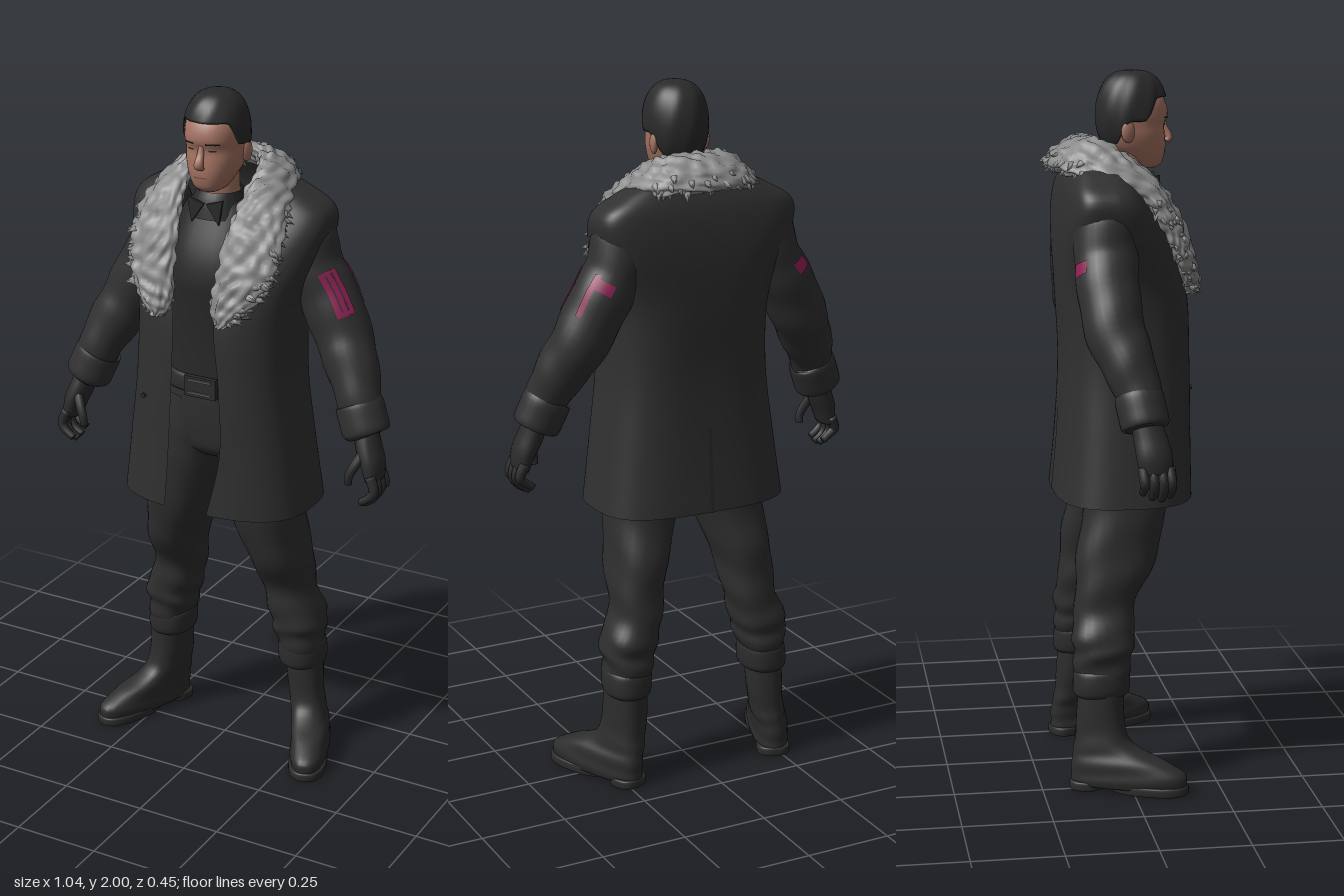
import * as THREE from 'three';
import { mergeVertices, mergeGeometries } from 'three/addons/utils/BufferGeometryUtils.js';

const PI = Math.PI;
const mat = (name, color, side = THREE.FrontSide) => {
  const m = new THREE.MeshStandardMaterial({ color, side });
  m.name = name;
  return m;
};

// Smooth interpolation through rows of numbers, u in 0..1
function sample(rows, u) {
  const n = rows.length - 1, f = Math.min(Math.max(u, 0), 1) * n;
  const i = Math.min(Math.floor(f), n - 1), t = f - i;
  const row = k => rows[Math.min(Math.max(i + k, 0), n)];
  return rows[0].map((_, k) => {
    const a = row(-1)[k], b = row(0)[k], c = row(1)[k], d = row(2)[k];
    return 0.5 * (2 * b + (c - a) * t + (2 * a - 5 * b + 4 * c - d) * t * t + (3 * b - a - 3 * c + d) * t ** 3);
  });
}

// Surface from fn(u, v) -> Vector3; cap closes both ends
function grid(fn, nu, nv, cap = false) {
  const rows = [];
  for (let i = 0; i <= nu; i++) {
    const r = [];
    for (let j = 0; j <= nv; j++) r.push(fn(i / nu, j / nv));
    rows.push(r);
  }
  if (cap) {
    const centre = r => {
      const c = new THREE.Vector3();
      for (let j = 0; j < nv; j++) c.addScaledVector(r[j], 1 / nv);
      return r.map(() => c);
    };
    rows.unshift(centre(rows[0]));
    rows.push(centre(rows[rows.length - 1]));
  }
  const w = nv + 1, index = [];
  for (let i = 0; i < rows.length - 1; i++) for (let j = 0; j < nv; j++) {
    const a = i * w + j, b = a + w;
    index.push(a, b, a + 1, b, b + 1, a + 1);
  }
  let g = new THREE.BufferGeometry().setFromPoints(rows.flat());
  g.setIndex(index);
  g = mergeVertices(g, 1e-5);
  g.computeVertexNormals();
  return g;
}

function mirror(geo) {
  const g = geo.clone().scale(-1, 1, 1), ix = g.index;
  for (let i = 0; i < ix.count; i += 3) {
    const t = ix.getX(i);
    ix.setX(i, ix.getX(i + 1));
    ix.setX(i + 1, t);
  }
  g.computeVertexNormals();
  return g;
}

const pw = (v, p) => Math.sign(v) * Math.abs(v) ** p;

// Horizontal rings, top to bottom: [y, centre x, half width, front z, back z]
const body = (rows, p = 0.9, ripple = () => 0) => (u, a, off = 0) => {
  const [y, cx, rx, zf, zb] = sample(rows, u), o = off + ripple(u, a);
  return new THREE.Vector3(cx + (rx + o) * pw(Math.sin(a), p), y,
    (zf + zb) / 2 + ((zf - zb) / 2 + o) * pw(Math.cos(a), p));
};

// Rings across a path: [x, y, z, radius front-back, radius sideways]
const limb = (rows, ripple = () => 0) => (u, a, off = 0) => {
  const s = sample(rows, u), c = new THREE.Vector3(s[0], s[1], s[2]);
  const q = sample(rows, u + 0.01), r = sample(rows, u - 0.01);
  const T = new THREE.Vector3(q[0] - r[0], q[1] - r[1], q[2] - r[2]).normalize();
  const n1 = new THREE.Vector3(0, 0, 1).addScaledVector(T, -T.z).normalize();
  const n2 = n1.clone().cross(T), o = off + ripple(u, a);
  return c.addScaledVector(n1, (s[3] + o) * Math.cos(a)).addScaledVector(n2, (s[4] + o) * Math.sin(a));
};

const solid = (fn, nu = 16, nv = 24) => grid((u, v) => fn(u, v * 2 * PI), nu, nv, true);
// Thin panel lying on a surface
const patch = (fn, [u0, u1, a0, a1], off = 0.003) =>
  grid((u, v) => fn(u0 + (u1 - u0) * u, a0 + (a1 - a0) * v, off), 8, 6);

export function createModel() {
  const model = new THREE.Group();
  const D = THREE.DoubleSide;
  const coatM = mat('coat cloth', 0x303030, D), shirtM = mat('shirt cloth', 0x292929, D);
  const trouserM = mat('trouser cloth', 0x2e2e2e), leather = mat('leather', 0x2c2c2c);
  const furM = mat('fur', 0x8a8a8a, D), skin = mat('skin', 0xa47362), lip = mat('lip', 0x85574a, D);
  const hairM = mat('hair', 0x2a2a2a, D), accent = mat('magenta', 0x8c1f52, D), metal = mat('metal', 0x5a5a5a);
  const add = (name, geo, m) => {
    const mesh = new THREE.Mesh(geo, m);
    mesh.name = name;
    model.add(mesh);
  };
  const pair = (name, geo, m) => {
    add(name + 'Left', geo, m);
    add(name + 'Right', mirror(geo), m);
  };

  // Head and face
  const head = body([[1.965, 0, 0.055, 0.1, -0.03], [1.92, 0, 0.077, 0.132, -0.05], [1.88, 0, 0.08, 0.142, -0.055],
    [1.85, 0, 0.079, 0.132, -0.05], [1.82, 0, 0.077, 0.134, -0.04], [1.79, 0, 0.069, 0.136, -0.03],
    [1.765, 0, 0.058, 0.133, 0], [1.742, 0, 0.044, 0.125, 0.03], [1.73, 0, 0.026, 0.11, 0.05]], 0.87);
  add('head', solid(head, 32, 32), skin);
  add('neck', solid(limb([[0, 1.79, 0.03, 0.055, 0.057], [0, 1.73, 0.028, 0.054, 0.056], [0, 1.66, 0.02, 0.06, 0.06]])), skin);
  add('nose', solid(limb([[0, 1.868, 0.13, 0.006, 0.007], [0, 1.84, 0.136, 0.008, 0.01], [0, 1.814, 0.147, 0.011, 0.014],
    [0, 1.802, 0.139, 0.008, 0.014]]), 10, 14), skin);
  pair('ear', mergeVertices(new THREE.SphereGeometry(1, 14, 10).scale(0.011, 0.032, 0.02).rotateY(-0.25).translate(0.078, 1.835, 0.02)), skin);
  pair('eyebrow', patch(head, [0.275, 0.295, 0.17, 0.66]), hairM);
  pair('eye', patch(head, [0.36, 0.38, 0.24, 0.5], 0.002), hairM);
  add('mouth', patch(head, [0.69, 0.712, -0.24, 0.24], 0.002), lip);

  // Hair: a cap whose lower edge drops past the temples to the nape
  add('hair', grid((u, v) => {
    const a = v * 2 * PI, side = Math.acos(Math.cos(a));
    const drop = THREE.MathUtils.smoothstep(side, 0.85, 1.35);
    const edge = 1.925 - 0.065 * drop - 0.065 * THREE.MathUtils.smoothstep(side, 1.7, 2.3);
    const phi = Math.acos((edge - 1.88) / 0.12) * Math.min(u / 0.93, 1);
    const s = Math.sin(phi) ** 0.7 * (u > 0.95 ? 0.84 : 1) * (1 + 0.012 * Math.sin(9 * a + 7 * u));
    return new THREE.Vector3(0.091 * s * Math.sin(a), 1.88 + 0.12 * Math.cos(phi), 0.042 + 0.103 * s * Math.cos(a));
  }, 24, 48), hairM);

  // Shirt, collar and belt
  add('shirt', solid(body([[1.7, 0, 0.07, 0.085, -0.04], [1.66, 0, 0.11, 0.1, -0.08], [1.56, 0, 0.14, 0.138, -0.1],
    [1.48, 0, 0.152, 0.152, -0.11], [1.42, 0, 0.155, 0.145, -0.11], [1.3, 0, 0.152, 0.132, -0.1],
    [1.16, 0, 0.15, 0.125, -0.1]], 0.85), 24, 32), shirtM);
  add('shirtCollar', grid((u, v) => body([[1.722, 0, 0.063, 0.09, -0.035], [1.695, 0, 0.072, 0.102, -0.05],
    [1.65, 0, 0.088, 0.112, -0.06]])(u, v * 2 * PI), 6, 24), shirtM);
  for (const s of [1, -1]) {
    const flap = new THREE.Shape([[0.004, 1.695], [0.055, 1.712], [0.042, 1.64]].map(([x, y]) => new THREE.Vector2(s * x, y)));
    add('collarPoint', new THREE.ExtrudeGeometry(flap, { depth: 0.008, bevelEnabled: false }).translate(0, 0, 0.106), shirtM);
  }
  add('belt', solid(body([[1.195, 0, 0.15, 0.126, -0.1], [1.19, 0, 0.16, 0.136, -0.11], [1.15, 0, 0.165, 0.138, -0.113],
    [1.145, 0, 0.155, 0.128, -0.103]], 0.85), 8, 32), leather);
  add('buckle', new THREE.BoxGeometry(0.1, 0.06, 0.014).translate(0, 1.17, 0.14), leather);
  for (const y of [1.152, 1.19]) add('buckleBar', new THREE.BoxGeometry(0.075, 0.006, 0.006).translate(0, y, 0.149), metal);

  // Trousers with folds gathered around the knees and shins
  add('hips', solid(body([[1.17, 0, 0.15, 0.125, -0.1], [1.1, 0, 0.165, 0.126, -0.115], [1.03, 0, 0.175, 0.122, -0.115],
    [0.97, 0, 0.16, 0.112, -0.105], [0.94, 0, 0.11, 0.08, -0.075]], 0.75), 18, 32), trouserM);
  pair('trouserLeg', solid(body([[1.12, 0.08, 0.08, 0.12, -0.1], [1.02, 0.092, 0.1, 0.126, -0.117], [0.94, 0.112, 0.11, 0.125, -0.12],
    [0.8, 0.135, 0.1, 0.118, -0.115], [0.65, 0.166, 0.083, 0.085, -0.14], [0.52, 0.184, 0.072, 0.022, -0.148],
    [0.43, 0.207, 0.079, 0.018, -0.158], [0.37, 0.217, 0.07, 0.008, -0.155], [0.3, 0.22, 0.058, -0.01, -0.148]], 0.85,
  (u, a) => 0.004 * u * (Math.sin(u * 46 + 2.5 * Math.sin(a + 1)) + 0.6 * Math.sin(u * 29 - 2 * Math.sin(a))))
  , 60, 28), trouserM);

  // Boots: turned-out foot, shaft, sole, heel and cuff
  const place = g => g.rotateY(0.37).translate(0.25, 0, -0.087);
  pair('boot', place(solid(body([[0.31, -0.026, 0.054, 0.062, -0.066], [0.2, -0.02, 0.053, 0.066, -0.07], [0.145, -0.013, 0.051, 0.078, -0.073],
    [0.112, -0.007, 0.051, 0.125, -0.077], [0.087, 0, 0.053, 0.19, -0.08], [0.06, 0.003, 0.055, 0.242, -0.081],
    [0.035, 0.004, 0.056, 0.253, -0.081], [0.016, 0.004, 0.054, 0.25, -0.08]], 0.82, (u, a) => 0.001 * Math.sin(u * 24 + 2 * Math.cos(a))), 32, 32)), leather);
  const slab = (zf, zb, rx) => place(solid(body([[0.026, 0.004, rx - 0.004, zf - 0.005, zb + 0.005], [0.022, 0.004, rx, zf, zb],
    [0.004, 0.004, rx, zf, zb], [0, 0.004, rx - 0.004, zf - 0.005, zb + 0.005]], 0.8), 9, 28));
  pair('sole', slab(0.256, 0.04, 0.056), leather);
  pair('heel', slab(0.01, -0.084, 0.049), leather);
  pair('bootCuff', solid(body([[0.345, 0.218, 0.058, -0.01, -0.145], [0.335, 0.219, 0.066, 0.001, -0.156],
    [0.3, 0.221, 0.068, 0.003, -0.159], [0.275, 0.222, 0.064, -0.001, -0.157], [0.265, 0.223, 0.052, -0.015, -0.147]]), 16, 28), leather);

  // Coat: open shell, rows of [y, half width, front z, back z, opening right, opening left]
  const coatRows = [[1.77, 0.1, 0, -0.11, 0.085, 0.085], [1.718, 0.22, 0.02, -0.142, 0.13, 0.13], [1.66, 0.296, 0.06, -0.162, 0.13, 0.13],
    [1.55, 0.28, 0.13, -0.174, 0.1, 0.1], [1.4, 0.236, 0.187, -0.172, 0.06, 0.068], [1.2, 0.236, 0.198, -0.162, 0.062, 0.085],
    [1, 0.26, 0.2, -0.17, 0.072, 0.09], [0.812, 0.285, 0.203, -0.187, 0.085, 0.05]];
  const front = 0.75;
  const coat = (u, a, off = 0) => {
    const [y, rx, zf, zb] = sample(coatRows, u);
    // The back is squarer across the shoulders than at the hem
    const back = 0.46 + 0.18 * THREE.MathUtils.smoothstep(u, 0.35, 0.6);
    return body([[y, 0, rx, zf, zb], [y, 0, rx, zf, zb]], Math.cos(a) > 0 ? front : back)(0, a, off);
  };
  add('coat', grid((u, v) => {
    const [, rx, , , gr, gl] = sample(coatRows, u);
    const a0 = Math.asin((gl / rx) ** (1 / front)), a1 = 2 * PI - Math.asin((gr / rx) ** (1 / front));
    return coat(u, a0 + (a1 - a0) * v);
  }, 48, 96), coatM);
  add('backVent', patch(coat, [0.82, 1, PI - 0.002, PI + 0.002]), shirtM);
  add('coatButton', new THREE.CylinderGeometry(0.007, 0.007, 0.006, 12).rotateX(PI / 2).translate(-0.16, 1.13, 0.184), shirtM);

  // Sleeves, cuffs and the magenta sleeve panels
  const sleeve = limb([[0.228, 1.665, -0.068, 0.066, 0.058], [0.224, 1.6, -0.066, 0.086, 0.078], [0.245, 1.51, -0.066, 0.088, 0.08],
    [0.294, 1.42, -0.067, 0.085, 0.084], [0.35, 1.31, -0.054, 0.082, 0.08], [0.4, 1.215, -0.019, 0.07, 0.07],
    [0.438, 1.12, 0.003, 0.057, 0.057]], (u, a) => 0.003 * u * Math.sin(u * 34 + 2 * Math.cos(a)));
  pair('sleeve', solid(sleeve, 40, 28), coatM);
  pair('sleeveCuff', solid(limb([[0.417, 1.162, -0.005, 0.056, 0.057], [0.421, 1.154, -0.004, 0.066, 0.068], [0.437, 1.115, 0.003, 0.067, 0.069],
    [0.451, 1.08, 0.009, 0.065, 0.067], [0.454, 1.073, 0.01, 0.05, 0.05]]), 16, 28), coatM);
  for (const p of [[0.38, 0.58, 0.54, 0.73], [0.37, 0.57, 0.78, 0.95], [0.37, 0.56, 1, 1.17], [0.37, 0.39, 0.56, 1.17],
    [0.56, 0.58, 0.56, 1.17], [0.38, 0.56, 2.1, 2.32], [0.4, 0.45, 2.3, 2.9]])
    add('sleevePanelLeft', patch(sleeve, p), accent);
  add('sleevePanelRight', mirror(patch(sleeve, [0.39, 0.45, 2.35, 2.95])), accent);

  // Gloved hands with curled fingers
  pair('palm', solid(limb([[0.443, 1.11, 0.006, 0.038, 0.034], [0.463, 1.05, 0.02, 0.046, 0.034], [0.483, 1, 0.029, 0.049, 0.031],
    [0.492, 0.955, 0.033, 0.044, 0.022]]), 12, 20), leather);
  const digit = pts => solid(limb(pts.map(([x, y, z], i) => [x, y, z, 0.0155 - 0.0015 * i, 0.0155 - 0.0015 * i])), 12, 10);
  [-0.004, 0.021, 0.046, 0.068].forEach((z, i) => {
    const d = [0.018, 0.004, 0, 0.01][i];
    pair('finger', digit([[0.492, 0.975, z], [0.507, 0.937, z + 0.003], [0.496, 0.905 + d, z + 0.005], [0.468, 0.885 + d, z + 0.004]]), leather);
  });
  pair('thumb', digit([[0.465, 1.035, 0.05], [0.446, 1, 0.068], [0.432, 0.968, 0.076], [0.43, 0.944, 0.074]]), leather);

  // Fur collar: rows of inner edge then outer edge, from back centre to lapel tip
  const half = [[0, 1.81, -0.075, 0, 1.74, -0.2], [0.07, 1.81, -0.06, 0.125, 1.73, -0.165], [0.1, 1.78, 0, 0.187, 1.705, -0.07],
    [0.09, 1.72, 0.06, 0.22, 1.665, 0.055], [0.076, 1.63, 0.125, 0.23, 1.58, 0.115], [0.068, 1.52, 0.17, 0.215, 1.5, 0.15],
    [0.064, 1.43, 0.19, 0.16, 1.425, 0.18], [0.085, 1.385, 0.19, 0.115, 1.385, 0.188]];
  const furRows = [...half.slice(1).reverse().map(r => r.map((n, k) => (k % 3 ? n : -n))), ...half];
  const fur = (u, a, off = 0) => {
    const mid = r => new THREE.Vector3(r[0] + r[3], r[1] + r[4], r[2] + r[5]).multiplyScalar(0.5);
    const r = sample(furRows, u), w = new THREE.Vector3(r[3] - r[0], r[4] - r[1], r[5] - r[2]).multiplyScalar(0.5);
    const T = mid(sample(furRows, u + 0.01)).sub(mid(sample(furRows, u - 0.01)));
    const n = w.clone().cross(T).normalize();
    const bump = off + 0.006 * Math.sin(u * 88 + 2 * Math.sin(3 * a)) * Math.sin(5 * a + 3 * Math.sin(u * 37))
      + 0.004 * Math.sin(u * 150 + 4 * a) * Math.sin(7 * a - u * 60);
    const k = 1 + bump / Math.max(w.length(), 0.02);
    return mid(r).addScaledVector(w, k * Math.cos(a)).addScaledVector(n, (0.03 + bump) * Math.sin(a));
  };
  add('furCollar', solid(fur, 160, 48), furM);
  let seed = 7;
  const rnd = () => (seed = (seed * 16807) % 2147483647) / 2147483647;
  const tufts = [], up = new THREE.Vector3(0, 1, 0);
  for (let i = 0; i < 240; i++) {
    const u = 0.03 + 0.94 * rnd(), a = (rnd() - 0.3) * PI;
    const base = fur(u, a, -0.005), dir = fur(u, a, 0.02).sub(base).normalize();
    // Tufts lie towards the outer edge of the collar
    const lay = fur(u, 0).sub(fur(u, PI)).normalize();
    dir.addScaledVector(lay, 0.9).add(new THREE.Vector3(rnd() - 0.5, -0.6 * rnd(), rnd() - 0.5)).normalize();
    const len = 0.02 + 0.016 * rnd();
    tufts.push(new THREE.ConeGeometry(0.011, len, 6, 1, true).translate(0, len * 0.35, 0)
      .applyQuaternion(new THREE.Quaternion().setFromUnitVectors(up, dir)).translate(base.x, base.y, base.z));
  }
  add('furTufts', mergeGeometries(tufts), furM);

  return model;
}
